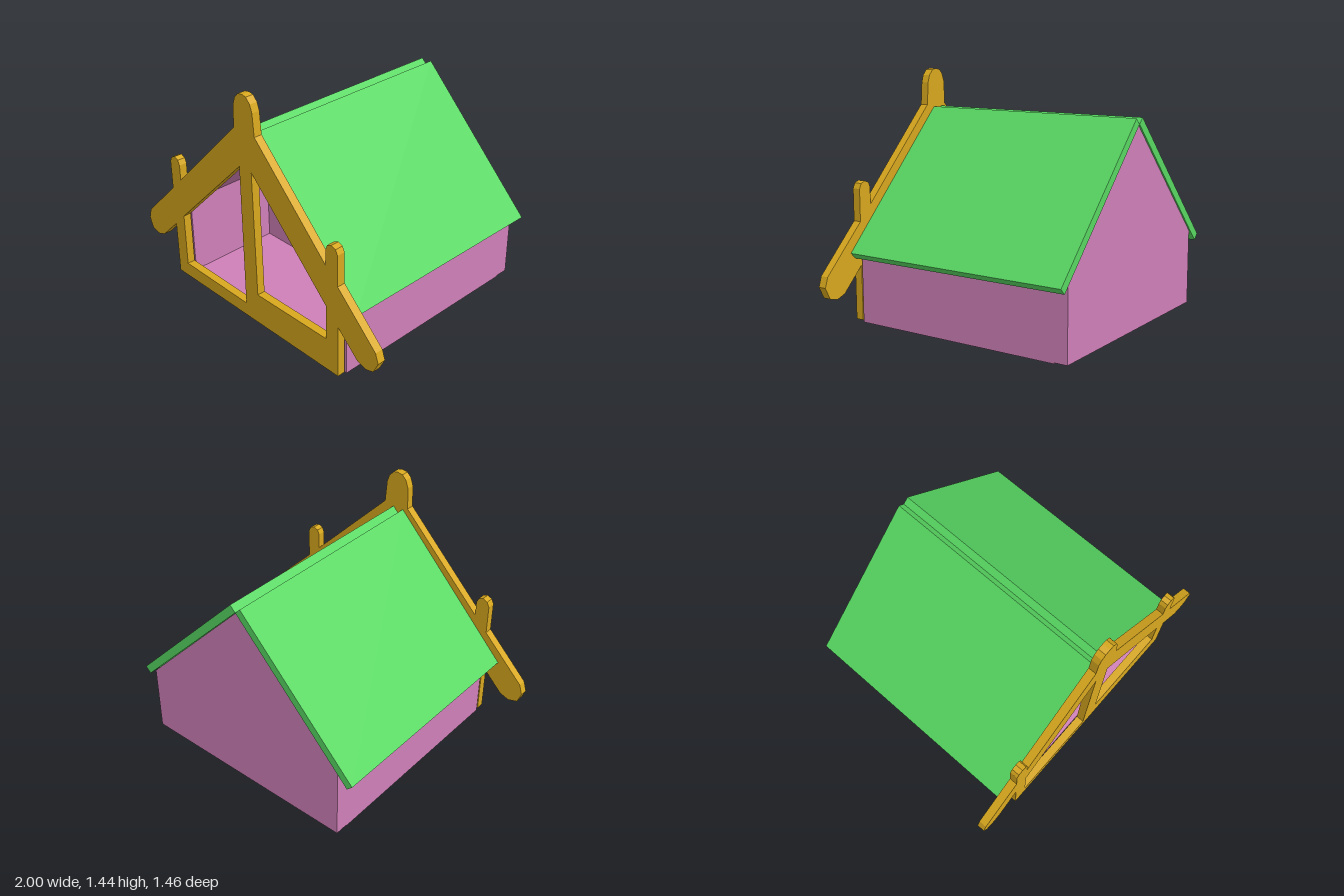
import * as THREE from 'three';

const mat = (color) => new THREE.MeshStandardMaterial({ color, flatShading: true });

// Closed outline in the xy plane
function outline(points, Kind = THREE.Shape) {
  return new Kind(points.map(([x, y]) => new THREE.Vector2(x, y)));
}

const rect = (x0, x1, y0, y1) => [[x0, y0], [x1, y0], [x1, y1], [x0, y1]];

// Plate between z0 and z1 with optional holes
function plate(name, points, z0, z1, material, holes = []) {
  const shape = outline(points);
  holes.forEach((h) => shape.holes.push(outline(h, THREE.Path)));
  const geo = new THREE.ExtrudeGeometry(shape, { depth: z1 - z0, bevelEnabled: false });
  geo.translate(0, 0, z0);
  const mesh = new THREE.Mesh(geo, material);
  mesh.name = name;
  return mesh;
}

export function createModel() {
  const model = new THREE.Group();
  model.name = 'cabin';
  const pink = mat(0xd080b8);
  const green = mat(0x58d862);
  const gold = mat(0xd8a81e);

  // Walls: outer half width 0.71, ridge slightly off centre
  const ridge = [-0.015, 1.172];
  const eaveL = 0.46, eaveR = 0.43;
  const back = -0.64, front = 0.67;
  model.add(plate('backWall',
    [[-0.71, 0.006], [0.71, 0.006], [0.71, eaveR], ridge, [-0.71, eaveL]], -0.722, back, pink));
  model.add(plate('leftWall',
    [[0.625, 0], [0.71, 0], [0.71, eaveR], [0.625, eaveR + 0.085]], back, front, pink));
  model.add(plate('rightWall',
    [[-0.71, 0], [-0.625, 0], [-0.625, eaveL + 0.085], [-0.71, eaveL]], back, front, pink));
  model.add(plate('floor', rect(-0.625, 0.625, 0.012, 0.025), back, front, pink));

  // Inner wall with a doorway and a window
  model.add(plate('partition',
    [[-0.625, 0.02], [0.625, 0.02], [0.625, eaveR + 0.085], ridge, [-0.625, eaveL + 0.085]],
    0, 0.07, pink, [rect(-0.3, -0.13, 0.17, 0.47), rect(0.1, 0.42, 0.27, 0.47)]));

  // Thin ceiling lining under the roof
  model.add(plate('ceiling',
    [[-0.625, 0.54], ridge, [0.625, 0.51], [0.625, 0.49], [-0.015, 1.15], [-0.625, 0.52]],
    back, front, pink));

  // Roof slabs, meeting in a V notch at the ridge
  model.add(plate('roofRight',
    [[-0.05, 1.21], [-0.815, 0.425], [-0.78, 0.39], [-0.015, 1.175]], -0.73, 0.68, green));
  model.add(plate('roofLeft',
    [[0.02, 1.21], [-0.015, 1.175], [0.755, 0.39], [0.79, 0.425]], -0.73, 0.68, green));

  // Front frame with rounded rafters, side posts and centre finial
  const frame = [
    [-0.71, 0.01], [0.705, 0.01], [0.705, 0.34],
    // left rafter end
    [0.85, 0.2], [0.91, 0.18], [0.965, 0.195], [1, 0.265], [0.98, 0.325],
    // left post
    [0.705, 0.595], [0.705, 0.785], [0.69, 0.815], [0.66, 0.827], [0.63, 0.815], [0.617, 0.785], [0.617, 0.685],
    // finial
    [0.085, 1.225], [0.075, 1.36], [0.06, 1.405], [0.03, 1.437], [0, 1.443],
    [-0.035, 1.437], [-0.062, 1.41], [-0.08, 1.36], [-0.085, 1.225],
    // right post
    [-0.622, 0.69], [-0.622, 0.785], [-0.635, 0.815], [-0.665, 0.828], [-0.695, 0.815], [-0.71, 0.785], [-0.71, 0.6],
    // right rafter end
    [-0.98, 0.335], [-1, 0.27], [-0.975, 0.205], [-0.915, 0.187], [-0.855, 0.208], [-0.71, 0.35],
  ];
  const openings = [
    [[-0.622, 0.1], [-0.06, 0.095], [-0.055, 1], [-0.622, 0.44]],
    [[0.05, 0.208], [0.615, 0.213], [0.615, 0.43], [0.045, 1]],
  ];
  model.add(plate('frontFrame', frame, 0.68, 0.73, gold, openings));

  return model;
}
